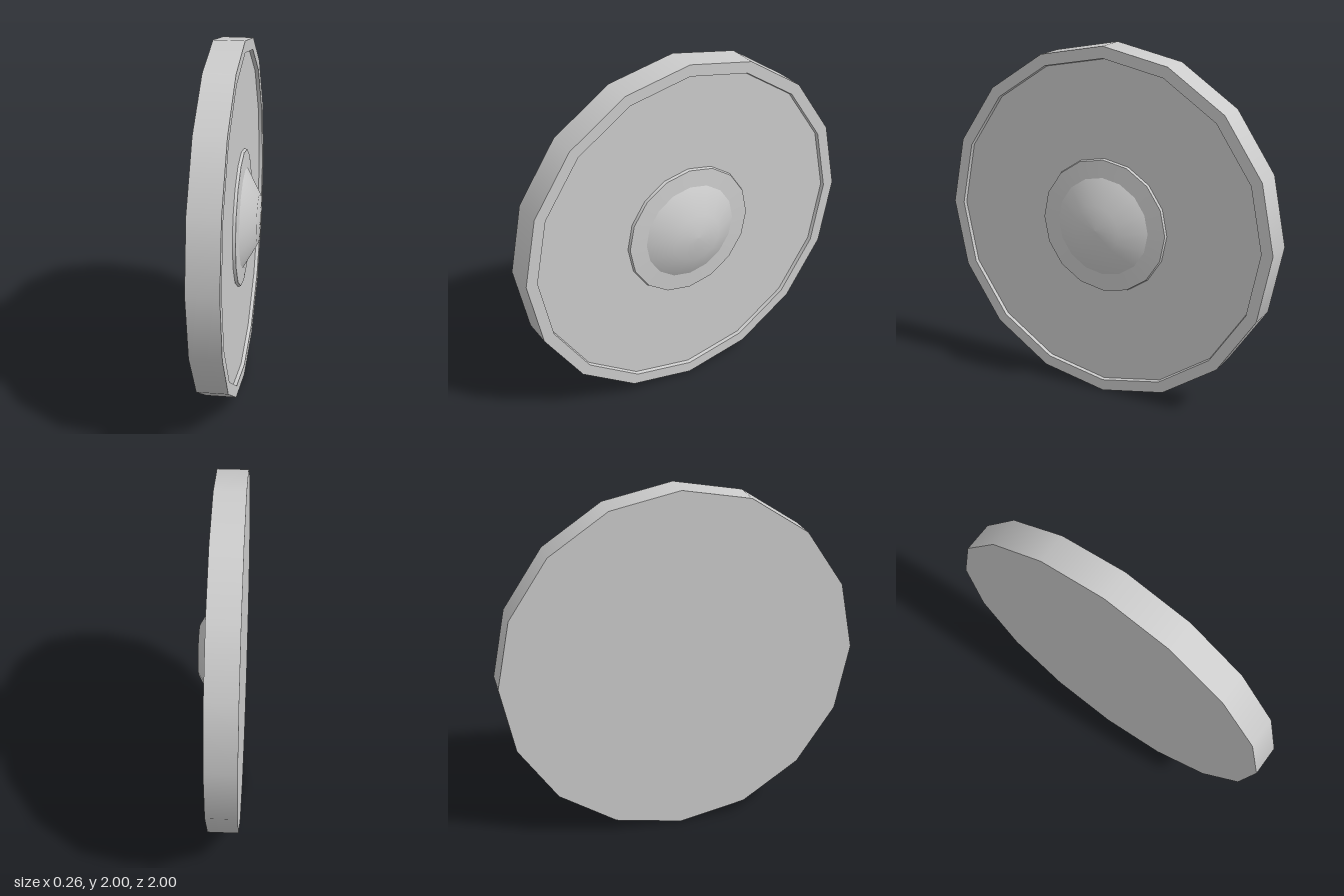
import * as THREE from 'three';

const SIDES = 16;
const material = new THREE.MeshStandardMaterial({ color: 0xcccccc });

// A turned part about the x axis; each band of [radius, x] points is smooth, with sharp edges between bands
function turned(name, bands) {
  const part = new THREE.Group();
  part.name = name;
  bands.forEach((band, i) => {
    const points = band.map(([r, x]) => new THREE.Vector2(r, x));
    const geometry = new THREE.LatheGeometry(points, SIDES).rotateZ(-Math.PI / 2);
    const mesh = new THREE.Mesh(geometry, material);
    mesh.name = `${name}Band${i + 1}`;
    part.add(mesh);
  });
  return part;
}

export function createModel() {
  const model = new THREE.Group();
  model.name = 'roundShield';

  const disc = new THREE.Group();
  disc.name = 'disc';
  disc.position.y = 1;
  model.add(disc);

  // Flat back
  disc.add(turned('back', [[[0, -0.13], [1, -0.13]]]));

  // Raised outer rim
  disc.add(turned('rim', [
    [[1, -0.13], [1, 0.04]],
    [[1, 0.04], [0.935, 0.04]],
    [[0.935, 0.04], [0.93, 0.02]],
  ]));

  // Slightly sunken face
  disc.add(turned('face', [[[0.93, 0.02], [0.385, 0.02]]]));

  // Collar around the boss
  disc.add(turned('collar', [
    [[0.385, 0.02], [0.38, 0.036]],
    [[0.38, 0.036], [0.28, 0.042]],
  ]));

  // Central boss
  disc.add(turned('boss', [[[0.28, 0.042], [0.14, 0.12], [0, 0.127]]]));

  return model;
}
